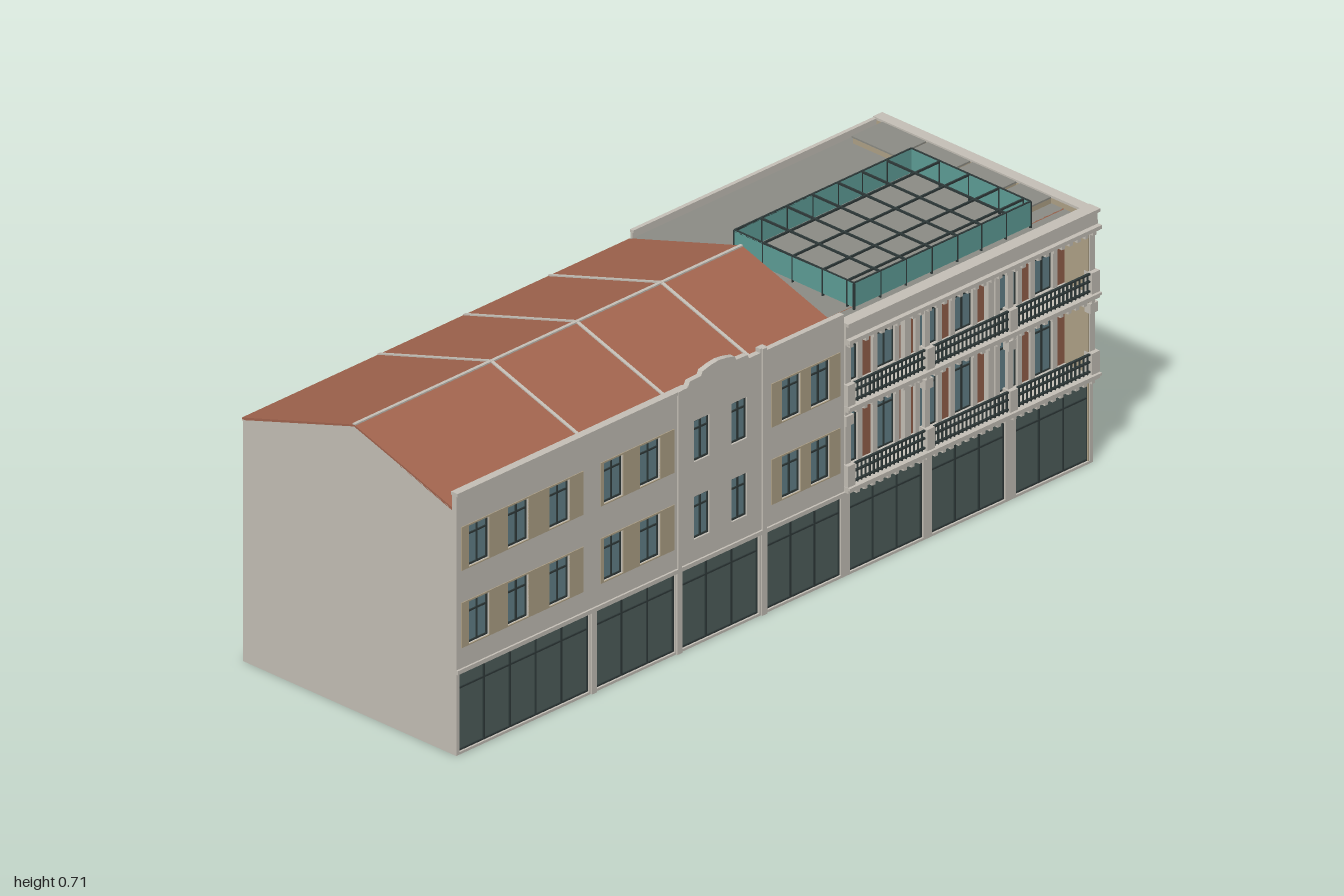
import * as THREE from 'three';

const mat = (name, color) => {
  const m = new THREE.MeshStandardMaterial({ color });
  m.name = name;
  return m;
};

export function createModel() {
  const M = {
    stone: mat('pale stone', 0xc6c1b8),
    tan: mat('tan render', 0xb0a388),
    brick: mat('brick', 0x95604b),
    tile: mat('roof tile', 0xa3654f),
    shop: mat('shopfront glass', 0x4f5f5c),
    glass: mat('window glass', 0x63828a),
    frame: mat('dark frame', 0x2f3a3a),
    deck: mat('roof deck', 0x8d8d86),
    teal: mat('skylight glass', 0x5f9f98),
  };
  M.teal.side = THREE.DoubleSide;
  const model = new THREE.Group();
  model.name = 'terraceBuilding';

  // Box given by its min and max on each axis
  const box = (name, m, x0, x1, y0, y1, z0, z1, parent = model) => {
    const mesh = new THREE.Mesh(new THREE.BoxGeometry(x1 - x0, y1 - y0, z1 - z0), m);
    mesh.position.set((x0 + x1) / 2, (y0 + y1) / 2, (z0 + z1) / 2);
    mesh.name = name;
    parent.add(mesh);
    return mesh;
  };
  // Upright plate in the xy plane with rectangular holes [x0, x1, y0, y1]
  const plate = (name, m, outline, holes, z0, depth) => {
    const shape = new THREE.Shape(outline.map(([x, y]) => new THREE.Vector2(x, y)));
    for (const [a, b, c, d] of holes) {
      shape.holes.push(new THREE.Path([[a, c], [a, d], [b, d], [b, c]].map(([x, y]) => new THREE.Vector2(x, y))));
    }
    const mesh = new THREE.Mesh(new THREE.ExtrudeGeometry(shape, { depth, bevelEnabled: false }), m);
    mesh.position.z = z0;
    mesh.name = name;
    model.add(mesh);
  };
  const rect = (a, b, c, d) => [[a, c], [b, c], [b, d], [a, d]];

  // Glazed opening: pane, dark surround, mullions and one transom
  const glazing = (name, m, [x0, x1, y0, y1], z, cols, transom, t = 0.004) => {
    const g = new THREE.Group();
    g.name = name;
    box('pane', m, x0, x1, y0, y1, z - 0.004, z, g);
    for (let i = 0; i <= cols; i++) {
      const x = x0 + t / 2 + ((x1 - x0 - t) * i) / cols;
      box('mullion', M.frame, x - t / 2, x + t / 2, y0, y1, z, z + 0.003, g);
    }
    for (const y of [y0, transom, y1 - t]) box('transom', M.frame, x0, x1, y, y + t, z, z + 0.003, g);
    model.add(g);
    return g;
  };

  // Left building: front wall with stepped parapet
  const shopsL = [[-0.99, -0.583], [-0.56, -0.315], [-0.295, -0.053], [-0.027, 0.203]].map(([a, b]) => [a, b, 0.006, 0.2]);
  const shopsR = [[0.23, 0.46], [0.487, 0.717], [0.75, 0.98]].map(([a, b]) => [a, b, 0.006, 0.2]);
  const floors = [[0.262, 0.367], [0.452, 0.553]];
  const columnsL = [[-0.963, -0.898], [-0.84, -0.775], [-0.711, -0.647], [-0.54, -0.48], [-0.428, -0.364],
    [-0.257, -0.208], [-0.14, -0.091], [0.016, 0.075], [0.107, 0.166]];
  const windowsL = floors.flatMap(([c, d]) => columnsL.map(([a, b]) => [a, b, c, d]));
  const parapet = [[0.212, 0.645], [-0.03, 0.645], [-0.03, 0.655], [-0.05, 0.655], [-0.05, 0.645], [-0.085, 0.645],
    [-0.09, 0.655], [-0.125, 0.656], [-0.13, 0.666], [-0.155, 0.672], [-0.18, 0.675], [-0.205, 0.672], [-0.23, 0.666],
    [-0.235, 0.656], [-0.27, 0.655], [-0.275, 0.645], [-1, 0.643]];
  plate('leftFrontWall', M.stone, [[-1, 0], [0.212, 0], ...parapet], [...shopsL, ...windowsL], 0.308, 0.014);
  for (const w of windowsL) glazing('leftWindow', M.glass, w, 0.314, 2, w[2] + 0.075);
  for (const s of shopsL) glazing('leftShopfront', M.shop, s, 0.314, s[1] - s[0] > 0.3 ? 5 : 3, 0.158);

  // Tan bands between the windows
  for (const [a, b] of [[-0.985, -0.604], [-0.55, -0.32], [-0.016, 0.198]]) {
    for (const [c, d] of floors) {
      const holes = columnsL.filter(([p, q]) => p > a && q < b).map(([p, q]) => [p, q, c + 0.0005, d]);
      plate('tanWindowBand', M.tan, rect(a, b, c - 0.002, d + 0.004), holes, 0.321, 0.003);
    }
  }
  // Slim ribs and mouldings on the left front
  for (const x of [-0.572, -0.305, -0.04]) box('wallRib', M.stone, x - 0.008, x + 0.008, 0, 0.2, 0.32, 0.326);
  box('leftShopMoulding', M.stone, -1, 0.212, 0.2, 0.21, 0.32, 0.327);
  box('centreRib', M.stone, -0.046, -0.034, 0.21, 0.655, 0.32, 0.327);
  box('centreRib', M.stone, -0.311, -0.299, 0.21, 0.645, 0.32, 0.327);
  box('leftCoping', M.stone, -1, -0.28, 0.637, 0.645, 0.306, 0.326);

  // Back and left end walls, open underneath
  box('leftBackWall', M.stone, -1, 0.212, 0, 0.594, -0.333, -0.328);
  box('rightBackWall', M.stone, 0.212, 0.99, 0, 0.615, -0.333, -0.328);
  const gable = (name, x) => {
    const s = new THREE.Shape([[-0.31, 0], [0.333, 0], [0.333, 0.592], [-0.008, 0.698], [-0.31, 0.602]]
      .map(([z, y]) => new THREE.Vector2(z, y)));
    return { name, x, s };
  };
  for (const { name, x, s } of [gable('leftEndWall', -1)]) {
    const mesh = new THREE.Mesh(new THREE.ExtrudeGeometry(s, { depth: 0.006, bevelEnabled: false }), M.stone);
    mesh.rotation.y = Math.PI / 2;
    mesh.position.x = x;
    mesh.name = name;
    model.add(mesh);
  }
  // Gable rising above the flat roof
  const top = new THREE.Shape([[-0.31, 0.59], [0.333, 0.59], [-0.008, 0.696]].map(([z, y]) => new THREE.Vector2(z, y)));
  const upper = new THREE.Mesh(new THREE.ExtrudeGeometry(top, { depth: 0.006, bevelEnabled: false }), M.stone);
  upper.rotation.y = Math.PI / 2;
  upper.position.x = 0.203;
  upper.name = 'roofGable';
  model.add(upper);

  // Pitched tiled roof with pale seams and ridge
  const slope = (name, m, x0, x1, z1, y1, lift) => {
    const dz = z1 - 0.008, dy = y1 - 0.702;
    const mesh = new THREE.Mesh(new THREE.BoxGeometry(x1 - x0, 0.007, Math.hypot(dz, dy)), m);
    mesh.position.set((x0 + x1) / 2, (0.702 + y1) / 2 - 0.003 + lift, (z1 + 0.008) / 2);
    mesh.rotation.x = Math.atan2(-dy, dz) + (dz < 0 ? Math.PI : 0);
    mesh.name = name;
    model.add(mesh);
  };
  for (const [z, y] of [[0.309, 0.606], [-0.335, 0.597]]) {
    slope('tiledSlope', M.tile, -1, 0.212, z, y, 0);
    for (const x of [-0.572, -0.305, -0.04]) slope('roofSeam', M.stone, x - 0.004, x + 0.004, z, y, 0.003);
  }
  box('roofRidge', M.stone, -1, 0.212, 0.698, 0.705, 0.004, 0.012);

  // Right building: ground floor front
  plate('rightGroundWall', M.stone, rect(0.212, 0.99, 0, 0.208), shopsR, 0.308, 0.014);
  for (const s of shopsR) glazing('rightShopfront', M.shop, s, 0.314, 3, 0.158);

  // Recessed brick front with framed balcony doors
  const columnsR = [0.296, 0.412, 0.545, 0.655, 0.795, 0.905];
  const doors = [[0.222, 0.355], [0.422, 0.535]].flatMap(([c, d]) => columnsR.map((x) => [x - 0.03, x + 0.03, c, d]));
  plate('recessedBrickWall', M.brick, rect(0.212, 0.976, 0.206, 0.6), doors, 0.24, 0.008);
  for (const [a, b, c, d] of doors) {
    glazing('balconyDoor', M.glass, [a, b, c, d], 0.245, 2, d - 0.03);
    plate('doorSurround', M.stone, rect(a - 0.012, b + 0.012, c, d + 0.012), [[a + 0.002, b - 0.002, c + 0.001, d - 0.002]], 0.248, 0.007);
    box('doorHood', M.stone, a - 0.016, b + 0.016, d + 0.01, d + 0.016, 0.248, 0.262);
  }

  // Balconies: slabs, brackets, columns and iron railings
  const posts = [0.225, 0.473, 0.733, 0.988];
  for (const [y, h] of [[0.208, 0.37], [0.406, 0.57]]) {
    const f = y + 0.014;
    box('balconySlab', M.stone, 0.212, 0.998, y, f, 0.235, 0.335);
    box('slabEdge', M.stone, 0.212, 1, f - 0.006, f, 0.318, 0.34);
    for (let x = 0.24; x < 0.98; x += 0.0245) box('slabDentil', M.stone, x, x + 0.01, y - 0.008, y, 0.318, 0.333);
    for (const x of posts) {
      box('column', M.stone, x - 0.008, x + 0.008, f, h + 0.036, 0.312, 0.322);
      box('columnCapital', M.stone, x - 0.012, x + 0.012, h, h + 0.024, 0.31, 0.328);
      box('columnPedestal', M.stone, x - 0.012, x + 0.012, f, f + 0.052, 0.308, 0.333);
      box('wallPilaster', M.stone, x - 0.009, x + 0.009, f, h, 0.248, 0.262);
      box('pilasterCapital', M.stone, x - 0.011, x + 0.011, h, h + 0.025, 0.248, 0.268);
    }
    for (const dy of [0.004, 0.028, 0.046]) box('frontRail', M.frame, 0.22, 0.988, f + dy, f + dy + 0.004, 0.322, 0.328);
    for (let i = 0; i <= 60; i++) {
      const x = 0.226 + i * 0.0126;
      box('baluster', M.frame, x - 0.0013, x + 0.0013, f, f + 0.048, 0.323, 0.327);
    }
    box('sideRail', M.stone, 0.99, 0.997, f + 0.047, f + 0.052, 0.26, 0.315);
    for (let i = 0; i < 5; i++) box('sideBaluster', M.frame, 0.992, 0.996, f, f + 0.048, 0.27 + i * 0.009, 0.2725 + i * 0.009);
  }

  // Cornice and low parapet
  box('frontParapet', M.stone, 0.212, 0.998, 0.582, 0.62, 0.308, 0.328);
  box('corniceSlab', M.stone, 0.212, 0.998, 0.572, 0.582, 0.235, 0.335);
  box('corniceEdge', M.stone, 0.212, 1, 0.576, 0.585, 0.318, 0.34);
  for (let x = 0.22; x < 0.98; x += 0.0245) box('corniceDentil', M.stone, x, x + 0.01, 0.563, 0.573, 0.318, 0.333);
  box('frontCoping', M.stone, 0.212, 1, 0.616, 0.624, 0.302, 0.335);
  box('sideCoping', M.stone, 0.972, 1, 0.616, 0.622, -0.335, 0.335);
  box('backCoping', M.stone, 0.212, 1, 0.614, 0.62, -0.335, -0.325);

  // Right end wall with brick panels and shopfronts
  box('rightEndWall', M.tan, 0.976, 0.99, 0, 0.617, -0.333, 0.32);
  for (const [c, d] of [[0.222, 0.373], [0.406, 0.549]]) {
    for (const [a, b] of [[0.11, 0.309], [-0.109, 0.09], [-0.318, -0.128]]) box('brickPanel', M.brick, 0.989, 0.993, c, d, a, b);
  }
  for (const [a, b] of [[-0.095, 0.076], [-0.311, -0.138]]) {
    const g = glazing('sideShopfront', M.shop, [a, b, 0.005, 0.18], 0, 3, 0.15, 0.003);
    g.rotation.y = Math.PI / 2;
    g.position.set(0.993, 0, a + b);
  }

  // Flat roof with open-topped glass enclosure and grid of bars
  box('flatRoof', M.deck, 0.209, 0.978, 0.592, 0.6, -0.33, 0.312);
  const X0 = 0.308, X1 = 0.86, Z0 = -0.108, Z1 = 0.258;
  const xs = [X0, 0.39, 0.47, 0.55, 0.63, 0.705, 0.782, X1], zs = [Z0, -0.02, 0.07, 0.163, 0.238, Z1];
  for (const z of [Z0, Z1]) box('skylightSide', M.teal, X0, X1, 0.606, 0.664, z - 0.002, z + 0.002);
  for (const x of [X0, X1]) box('skylightEnd', M.teal, x - 0.002, x + 0.002, 0.606, 0.664, Z0, Z1);
  for (const x of xs) {
    box('skylightBar', M.frame, x - 0.002, x + 0.002, 0.661, 0.666, Z0, Z1);
    for (const z of [Z0, Z1]) box('skylightPost', M.frame, x - 0.0015, x + 0.0015, 0.6, 0.664, z - 0.003, z + 0.003);
  }
  for (const z of zs) {
    box('skylightBar', M.frame, X0, X1, 0.661, 0.666, z - 0.002, z + 0.002);
    for (const x of [X0, X1]) box('skylightPost', M.frame, x - 0.003, x + 0.003, 0.6, 0.664, z - 0.0015, z + 0.0015);
  }

  // Rooftop plant boxes
  for (const [a, b] of [[-0.305, -0.175], [-0.165, -0.04], [-0.028, 0.102], [0.118, 0.208]]) {
    box('plantBox', M.tan, 0.878, 0.974, 0.6, 0.614, a, b);
    box('plantBoxLid', M.deck, 0.876, 0.975, 0.614, 0.618, a - 0.002, b + 0.002);
  }
  return model;
}
